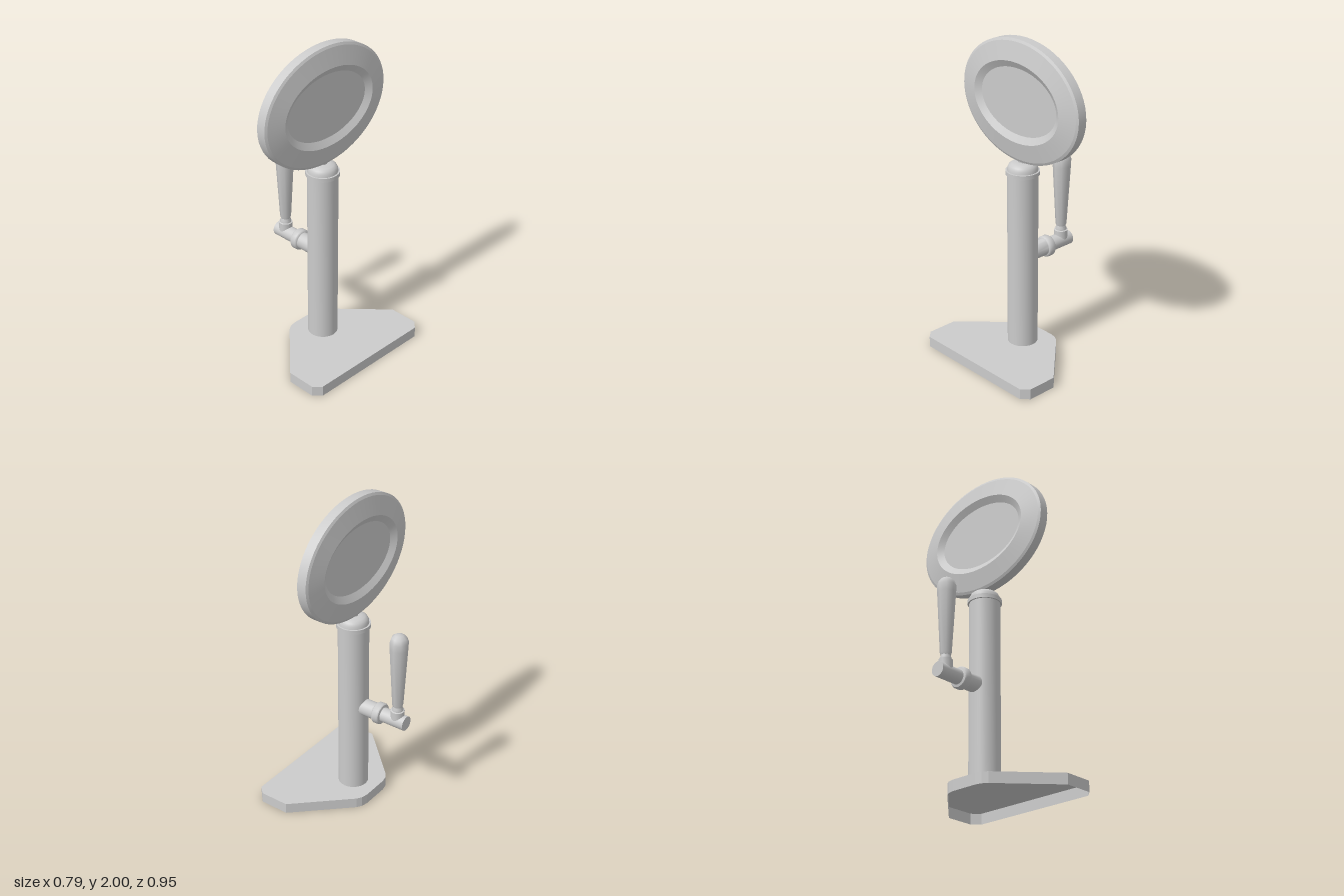
import * as THREE from 'three';
import { toCreasedNormals } from 'three/addons/utils/BufferGeometryUtils.js';

const grey = new THREE.MeshStandardMaterial({ color: 0xcccccc });
const greyOpen = new THREE.MeshStandardMaterial({ color: 0xcccccc, side: THREE.DoubleSide });
const AXIS_X = -0.013;

// Turned part from [radius, height] pairs, listed bottom to top
function turned(name, profile, segments, crease = 0.7) {
  const points = profile.map(([r, h]) => new THREE.Vector2(r, h));
  const geometry = toCreasedNormals(new THREE.LatheGeometry(points, segments), crease);
  const mesh = new THREE.Mesh(geometry, grey);
  mesh.name = name;
  return mesh;
}

// Base: thin shell with a top and walls, open underneath
function makeBase() {
  const half = [[0.395, 0.41], [0.35, 0.455], [0.165, 0.455], [-0.15, 0.157], [-0.171, 0.125], [-0.18, 0.085]];
  const outline = [...half, ...half.map(([x, z]) => [x, -z]).reverse()];
  const shape = new THREE.Shape(outline.map(([x, z]) => new THREE.Vector2(x, z)));
  const solid = new THREE.ExtrudeGeometry(shape, { depth: 0.067, bevelEnabled: false });
  // The first half of the lid triangles is the underside; leave it out
  const skip = (solid.groups[0].count / 2) * 3;
  const geometry = new THREE.BufferGeometry();
  geometry.setAttribute('position', new THREE.BufferAttribute(solid.attributes.position.array.slice(skip), 3));
  geometry.rotateX(-Math.PI / 2);
  geometry.computeVertexNormals();
  const mesh = new THREE.Mesh(geometry, greyOpen);
  mesh.name = 'base';
  return mesh;
}

// Oval badge: elliptical rings, each given as [inset from the rim, x]
function makeBadge() {
  const a = 0.477, b = 0.368, n = 64;
  const side = [[null, 0.037], [0.168, 0.037], [0.127, 0.061], [0.015, 0.037], [0, 0.029]];
  const rings = [...side, ...side.map(([d, x]) => [d, -x]).reverse()];
  const positions = [], index = [];
  rings.forEach(([inset, x], i) => {
    for (let j = 0; j <= n; j++) {
      const t = (j / n) * Math.PI * 2;
      const rz = inset === null ? 0 : a - inset;
      const ry = inset === null ? 0 : b - inset;
      positions.push(x, ry * Math.sin(t), rz * Math.cos(t));
      if (i === rings.length - 1 || j === n) continue;
      const p = i * (n + 1) + j, q = p + n + 1;
      if (i > 0) index.push(p, p + 1, q);
      if (i < rings.length - 2) index.push(p + 1, q + 1, q);
      else continue;
    }
  });
  // Close the inner face towards the centre on the far side
  const geometry = new THREE.BufferGeometry();
  geometry.setAttribute('position', new THREE.Float32BufferAttribute(positions, 3));
  geometry.setIndex(index);
  const mesh = new THREE.Mesh(toCreasedNormals(geometry, 0.2), grey);
  mesh.name = 'badge';
  mesh.position.set(AXIS_X, 1.632, 0);
  return mesh;
}

export function createModel() {
  const model = new THREE.Group();
  model.name = 'tapTower';
  model.add(makeBase(), makeBadge());

  // Column, collar and domed cap
  const column = turned('column', [[0.0925, 0.06], [0.0925, 1.185]], 40);
  const collar = turned('collar', [
    [0.0925, 1.18], [0.102, 1.18], [0.102, 1.205], [0.092, 1.205],
  ], 40);
  const cap = turned('cap', [
    [0.092, 1.205], [0.09, 1.223], [0.082, 1.239], [0.068, 1.25], [0.045, 1.255], [0, 1.256],
  ], 40);
  const neck = turned('neck', [[0.027, 1.25], [0.027, 1.29]], 20);
  for (const part of [column, collar, cap, neck]) {
    part.position.x = AXIS_X;
    model.add(part);
  }

  // Tap arm, running out to the right
  const arm = turned('tapArm', [
    [0.052, 0.08], [0.052, 0.183], [0.06, 0.185], [0.066, 0.193], [0.066, 0.225],
    [0.06, 0.233], [0.045, 0.236], [0.045, 0.398], [0, 0.398],
  ], 24);
  arm.rotation.z = Math.PI / 2;
  arm.position.y = 0.643;
  model.add(arm);

  // Socket and lever
  const lever = new THREE.Group();
  lever.name = 'lever';
  lever.position.x = -0.335;
  lever.add(turned('leverSocket', [
    [0.042, 0.643], [0.042, 0.715], [0.034, 0.718], [0.034, 0.728], [0.027, 0.745], [0.027, 0.755],
  ], 20));
  lever.add(turned('leverGrip', [
    [0, 0.745], [0.03, 0.745], [0.034, 0.76], [0.055, 1.14], [0.057, 1.185],
    [0.046, 1.216], [0.025, 1.232], [0, 1.236],
  ], 8, 1.0));
  model.add(lever);

  return model;
}
